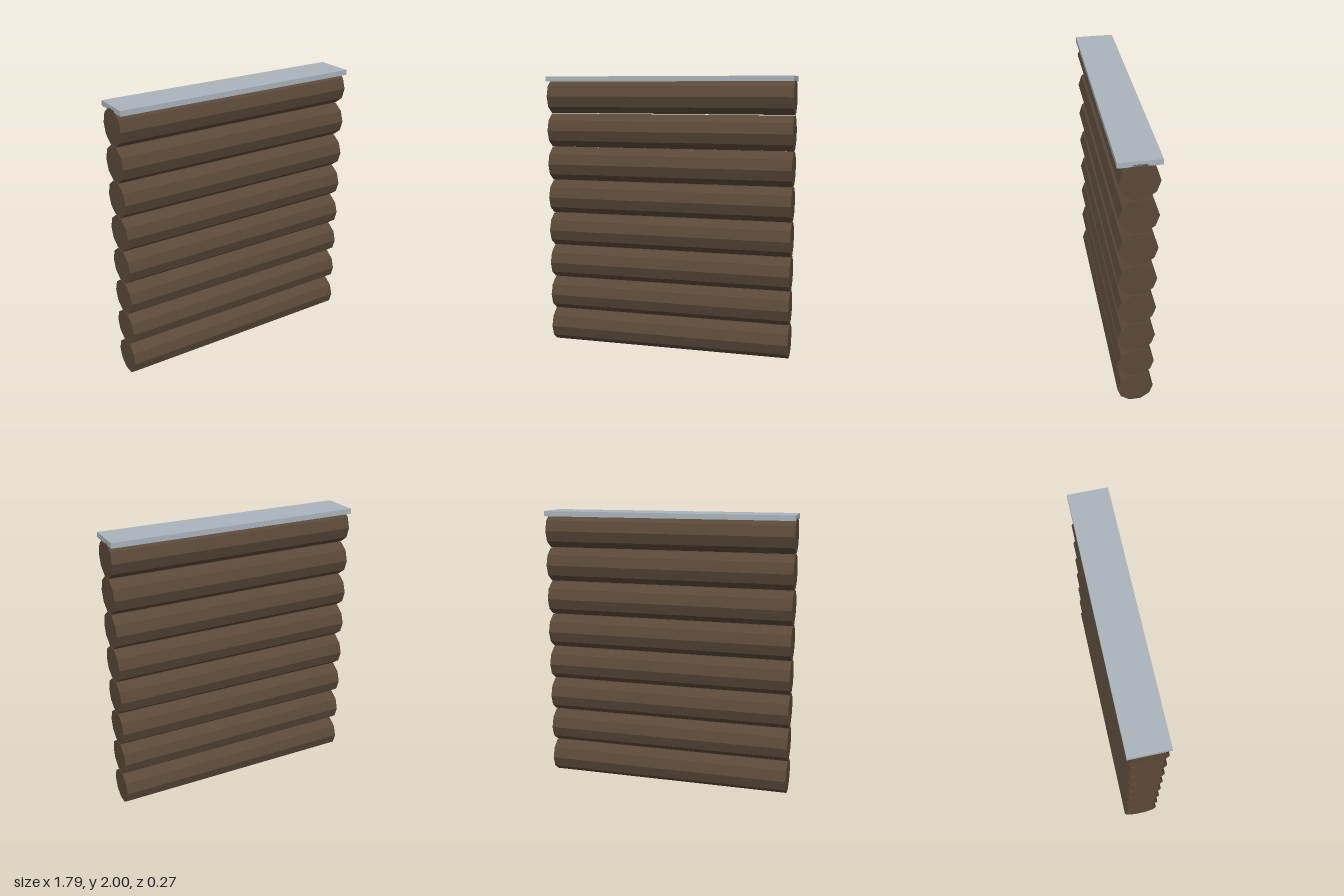
import * as THREE from 'three';

const LENGTH = 1.79;
const LOG_COUNT = 8;
const LOG_RADIUS = 0.127;
const LOG_SIDES = 10;
const LOG_PITCH = 0.248;

export function createModel() {
  const wall = new THREE.Group();
  wall.name = 'logWall';

  const wood = new THREE.MeshStandardMaterial({ color: 0x5a4838 });
  wood.name = 'brownWood';
  wood.flatShading = true;
  const metal = new THREE.MeshStandardMaterial({ color: 0xaab4bc });
  metal.name = 'greyCap';

  // Ten-sided log lying along x, with flat facets at top and bottom
  const logGeometry = new THREE.CylinderGeometry(LOG_RADIUS, LOG_RADIUS, LENGTH, LOG_SIDES);
  logGeometry.rotateZ(Math.PI / 2);
  const halfHeight = LOG_RADIUS * Math.cos(Math.PI / LOG_SIDES);

  // Stack of logs with narrow gaps between them
  for (let i = 0; i < LOG_COUNT; i++) {
    const log = new THREE.Mesh(logGeometry, wood);
    log.name = `log${i + 1}`;
    log.position.y = halfHeight + i * LOG_PITCH;
    wall.add(log);
  }

  // Flat capping board, slightly sunk over the top log
  const capHeight = 0.036;
  const cap = new THREE.Mesh(new THREE.BoxGeometry(LENGTH, capHeight, 0.272), metal);
  cap.name = 'topCap';
  cap.position.y = 2 - capHeight / 2;
  wall.add(cap);

  return wall;
}
